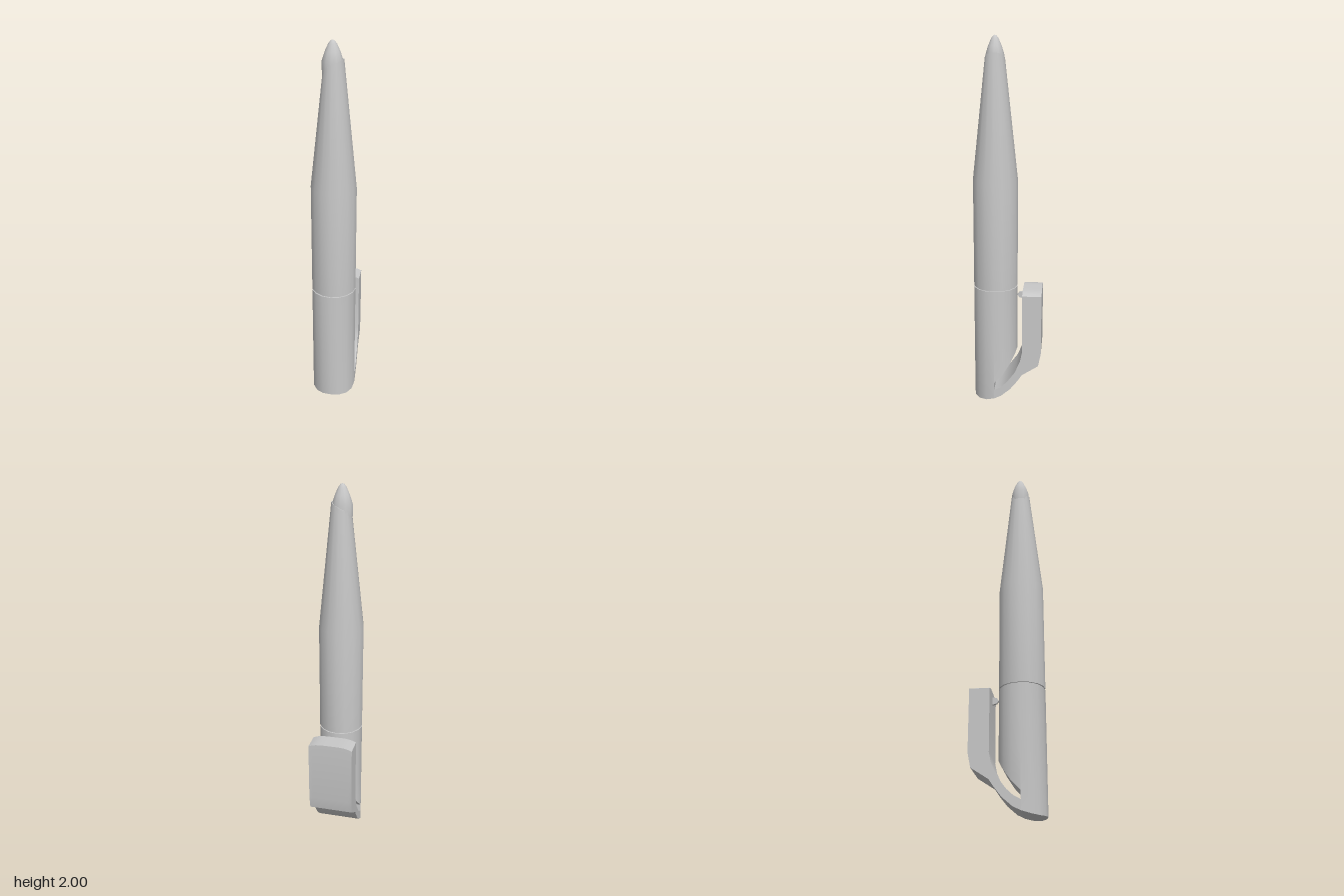
import * as THREE from 'three';
import { mergeGeometries, toCreasedNormals } from 'three/addons/utils/BufferGeometryUtils.js';

const R = 0.122, CZ = 0.07, SIDES = 16;

// side-on curves as [z, y]
const underside = [[-0.19, 0.3], [-0.175, 0.225], [-0.085, 0.167], [-0.06, 0.13], [-0.02, 0.08], [0.03, 0.037], [CZ, 0.018], [0.1, 0.008], [0.15, 0], [0.18, 0.001], [0.2, 0.008]];
const slotRoof = [[-0.06, 0.29], [-0.05, 0.28], [-0.03, 0.24], [0, 0.19], [0.035, 0.145], [CZ, 0.112]];
const slotFloor = [[CZ, 0.07], [0.035, 0.088], [0, 0.12], [-0.045, 0.18], [-0.075, 0.25], [-0.085, 0.3]];

function heightAt(curve, z) {
  for (let i = 1; i < curve.length; i++) {
    const [z0, y0] = curve[i - 1], [z1, y1] = curve[i];
    if (z <= z1) return y0 + (y1 - y0) * Math.max(0, (z - z0) / (z1 - z0));
  }
  return curve[curve.length - 1][1];
}

function lathe(points, sides = SIDES, start = 0, length = Math.PI * 2) {
  return new THREE.LatheGeometry(points.map(p => new THREE.Vector2(...p)), sides, start, length);
}

function moveY(geometry, rule) {
  const p = geometry.attributes.position;
  for (let i = 0; i < p.count; i++) p.setY(i, rule(p.getX(i), p.getY(i), p.getZ(i)));
  return geometry;
}

const crease = geometry => toCreasedNormals(geometry, Math.PI / 6);

export function createModel() {
  const group = new THREE.Group();
  const grey = new THREE.MeshStandardMaterial({ color: 0xc8c8c8 });
  grey.name = 'grey plastic';
  const add = (name, geometry) => {
    const mesh = new THREE.Mesh(geometry, grey);
    mesh.name = name;
    group.add(mesh);
    return mesh;
  };

  // lower barrel: front and back halves, each trimmed along its own curve
  const column = [[0, 0], [0.045, 0], [0.09, 0], [R, 0], [R, 0.3], [R, 0.652], [0, 0.652]];
  const half = (start, curve) => moveY(
    lathe(column, SIDES / 2, start, Math.PI).translate(0, 0, CZ),
    (x, y, z) => (y < 0.01 ? heightAt(curve, z) : y));
  add('lowerBarrel', crease(mergeGeometries([
    half(-Math.PI / 2, underside), half(Math.PI / 2, slotRoof)])));

  // closed end of the slot
  const slotEnd = new THREE.PlaneGeometry(R * 2, 0.1).rotateY(Math.PI);
  add('slotEnd', slotEnd.translate(0, 0.068, CZ));

  // upper barrel with a narrow joint groove, a taper and a slanted rim
  const upper = lathe([[0.115, 0.645], [0.115, 0.659], [R, 0.659], [R, 1.25], [0.053, 1.885], [0, 1.885]]);
  moveY(upper, (x, y) => (y > 1.8 ? y + 0.5 * x : y));
  add('upperBarrel', crease(upper.translate(0, 0, CZ)));

  // rounded nib, a little wider from side to side
  const nib = lathe([[0.05, 1.84], [0.05, 1.9], [0.036, 1.945], [0.02, 1.982], [0.009, 1.997], [0, 2]], 12);
  add('nib', nib.scale(1.08, 1, 1).translate(-0.004, 0, CZ));

  // pocket clip: side profile run across the full width, with an arched top
  const outline = [...underside.slice(0, 7), ...slotFloor, [-0.085, 0.647], [-0.19, 0.647]];
  const clip = new THREE.ExtrudeGeometry(new THREE.Shape(outline.map(p => new THREE.Vector2(...p))),
    { depth: R * 2, steps: 12, bevelEnabled: false });
  clip.rotateY(-Math.PI / 2).translate(R, 0, 0);
  moveY(clip, (x, y) => (y > 0.6 ? y - 0.016 * Math.pow(Math.abs(x) / R, 4) : y));
  add('clip', crease(clip));

  // small gripping nub on the inside of the clip
  const nub = new THREE.Shape([[-0.09, 0.578], [-0.09, 0.622], [-0.062, 0.614], [-0.052, 0.6], [-0.062, 0.586]]
    .map(p => new THREE.Vector2(...p)));
  add('clipNub', new THREE.ExtrudeGeometry(nub, { depth: 0.016, bevelEnabled: false })
    .rotateY(-Math.PI / 2).translate(0.008, 0, 0));

  return group;
}
